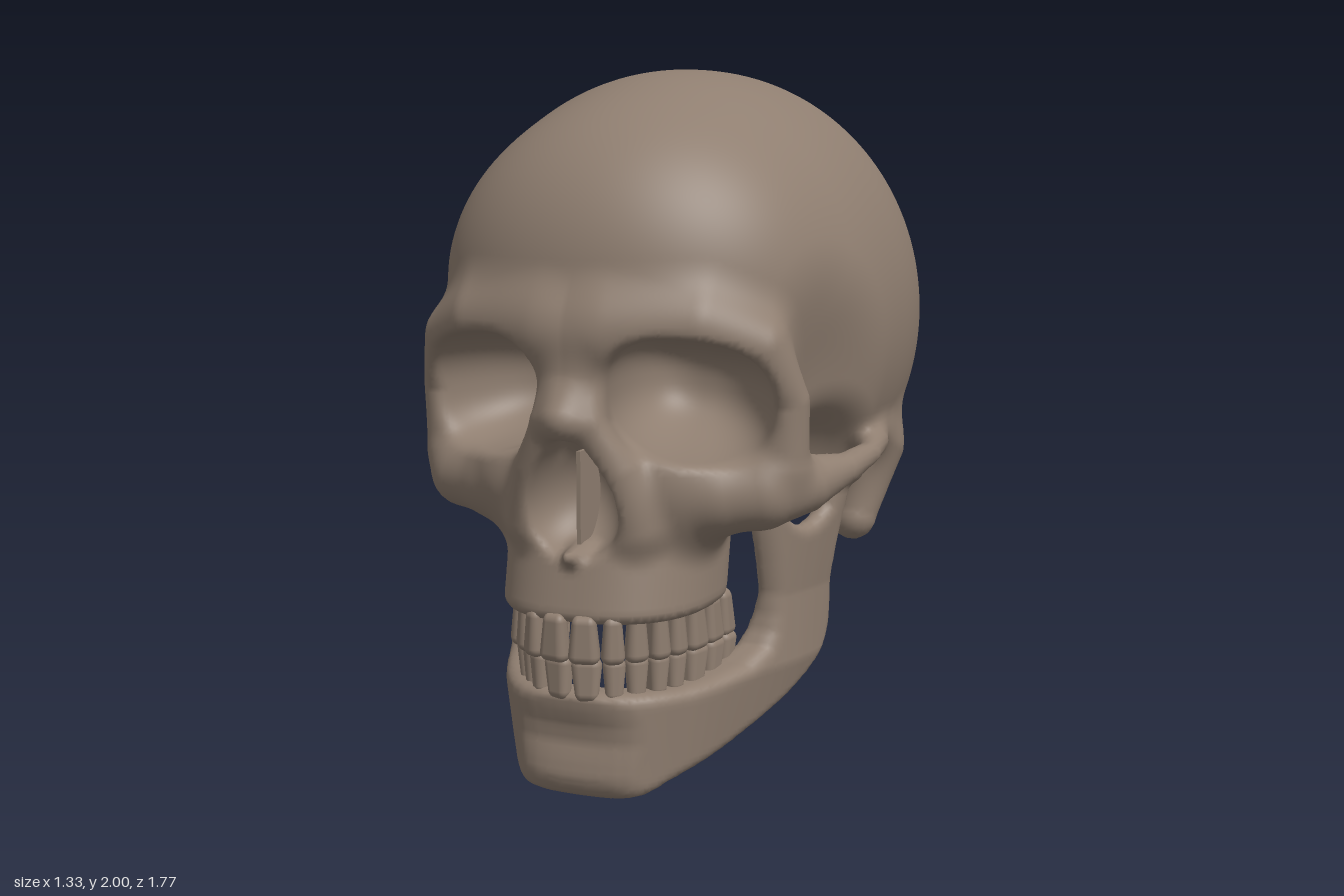
import * as THREE from 'three';
import { RoundedBoxGeometry } from 'three/addons/geometries/RoundedBoxGeometry.js';

const bone = new THREE.MeshStandardMaterial({ color: 0x8f7e70 });
bone.name = 'bone';

// ---- Sculpting forms: each returns a signed distance, negative inside ----
const clamp = (v) => Math.min(Math.max(v, 0), 1);
const join = (a, b, k) => {
  const h = Math.max(k - Math.abs(a - b), 0);
  return Math.min(a, b) - (h * h) / (4 * k);
};
const meet = (a, b, k) => -join(-a, -b, k);
const carve = (a, b, k) => meet(a, -b, k);

function ellipsoid(x, y, z, [cx, cy, cz], [rx, ry, rz]) {
  const a = (x - cx) / rx, b = (y - cy) / ry, c = (z - cz) / rz;
  return (Math.sqrt(a * a + b * b + c * c) - 1) * Math.min(rx, ry, rz);
}

// Chain of tapering limbs through [x, y, z, radius] points
function limb(x, y, z, points) {
  let best = Infinity;
  for (let i = 1; i < points.length; i++) {
    const [ax, ay, az, ar] = points[i - 1], [bx, by, bz, br] = points[i];
    const ex = bx - ax, ey = by - ay, ez = bz - az;
    const t = clamp(((x - ax) * ex + (y - ay) * ey + (z - az) * ez) / (ex * ex + ey * ey + ez * ez));
    const dx = x - ax - ex * t, dy = y - ay - ey * t, dz = z - az - ez * t;
    best = Math.min(best, Math.sqrt(dx * dx + dy * dy + dz * dz) - ar - (br - ar) * t);
  }
  return best;
}

// Signed distance to a closed 2D outline
function outline(u, v, pts) {
  let d = Infinity, sign = 1;
  for (let i = 0, j = pts.length - 1; i < pts.length; j = i++) {
    const [ax, ay] = pts[i], [bx, by] = pts[j];
    const ex = bx - ax, ey = by - ay, wx = u - ax, wy = v - ay;
    const t = clamp((wx * ex + wy * ey) / (ex * ex + ey * ey));
    d = Math.min(d, (wx - ex * t) ** 2 + (wy - ey * t) ** 2);
    if (ay > v !== by > v && u < ax + (ex * (v - ay)) / ey) sign = -sign;
  }
  return sign * Math.sqrt(d);
}

const spline = (pts, closed) =>
  new THREE.CatmullRomCurve3(pts.map(([u, v]) => new THREE.Vector3(u, 0, v)), closed);

// ---- Wraps a smooth quad skin around a sculpted form ----
function skin(field, min, max, step) {
  const n = min.map((m, i) => Math.ceil((max[i] - m) / step) + 1);
  const stride = [1, n[0], n[0] * n[1]];
  const value = new Float32Array(n[0] * n[1] * n[2]);
  const cell = new Int32Array(value.length).fill(-1);
  const at = (i, a) => min[a] + i * step;
  const each = (from, trim, fn) => {
    for (let k = from; k < n[2] - trim; k++)
      for (let j = from; j < n[1] - trim; j++)
        for (let i = from; i < n[0] - trim; i++) fn(i, j, k, i + j * stride[1] + k * stride[2]);
  };
  each(0, 0, (i, j, k, id) => { value[id] = field(at(i, 0), at(j, 1), at(k, 2)); });

  // One vertex per boundary cell, at the mean of its edge crossings
  const position = [], normal = [], index = [];
  each(0, 1, (i, j, k, id) => {
    const sum = [0, 0, 0];
    let count = 0;
    for (let a = 0; a < 3; a++) {
      const b = (a + 1) % 3, c = (a + 2) % 3;
      for (let q = 0; q < 4; q++) {
        const u = q & 1, w = q >> 1;
        const s = id + u * stride[b] + w * stride[c];
        const v0 = value[s], v1 = value[s + stride[a]];
        if (v0 < 0 === v1 < 0) continue;
        sum[a] += v0 / (v0 - v1);
        sum[b] += u;
        sum[c] += w;
        count++;
      }
    }
    if (!count) return;
    cell[id] = position.length / 3;
    const x = at(i + sum[0] / count, 0), y = at(j + sum[1] / count, 1), z = at(k + sum[2] / count, 2);
    const e = step * 0.6;
    const g = new THREE.Vector3(
      field(x + e, y, z) - field(x - e, y, z),
      field(x, y + e, z) - field(x, y - e, z),
      field(x, y, z + e) - field(x, y, z - e)).normalize();
    position.push(x, y, z);
    normal.push(g.x, g.y, g.z);
  });

  // One quad around every grid edge that passes through the surface
  each(1, 1, (i, j, k, id) => {
    for (let a = 0; a < 3; a++) {
      const inside = value[id] < 0;
      if (inside === value[id + stride[a]] < 0) continue;
      const b = stride[(a + 1) % 3], c = stride[(a + 2) % 3];
      const [p, q, r, s] = [cell[id - b - c], cell[id - c], cell[id], cell[id - b]];
      if (inside) index.push(p, q, r, p, r, s);
      else index.push(p, r, q, p, s, r);
    }
  });
  const geometry = new THREE.BufferGeometry();
  geometry.setAttribute('position', new THREE.Float32BufferAttribute(position, 3));
  geometry.setAttribute('normal', new THREE.Float32BufferAttribute(normal, 3));
  geometry.setIndex(index);
  return geometry;
}

// ---- Cranium and face ----
const ARCH = [[0.36, 0.84, 0.56, 0.1], [0.45, 0.85, 0.525, 0.105], [0.535, 0.862, 0.43, 0.082],
  [0.606, 0.885, 0.28, 0.046], [0.632, 0.907, 0.12, 0.033], [0.612, 0.925, 0, 0.04], [0.55, 0.935, -0.13, 0.06]];
const BROW = [[0.1, 1.3, 0.7, 0.075], [0.33, 1.305, 0.675, 0.065], [0.47, 1.25, 0.59, 0.06],
  [0.53, 1.1, 0.52, 0.052], [0.51, 0.93, 0.51, 0.07]];
const BRIDGE = [[0, 1.26, 0.725, 0.065], [0, 1.15, 0.765, 0.06], [0, 1.065, 0.832, 0.055]];
const NOSE_SIDE = [[0.045, 1.2, 0.715, 0.06], [0.06, 1.05, 0.785, 0.055], [0.12, 0.92, 0.75, 0.055], [0.155, 0.76, 0.7, 0.06]];
const MASTOID = [[0.49, 0.86, -0.25, 0.13], [0.495, 0.66, -0.165, 0.07]];
const SPINE = [[0, 0.675, 0.7, 0.04], [0, 0.685, 0.8, 0.018]];

function craniumField(sx, y, z) {
  const x = Math.abs(sx);
  // Braincase tapering slightly to the rear, forehead and flat base
  const rear = 1 - 0.2 * clamp((-0.4 - z) / 0.5) ** 1.5;
  const a = x / (0.665 * rear), b = (y - 1.27) / 0.73, c = Math.abs(z + 0.07) / 0.82;
  let d = (((a * a + b * b) ** 1.15 + c ** 2.3) ** (1 / 2.3) - 1) * 0.7;
  d = join(d, ellipsoid(x, y, z, [0, 1.45, 0.36], [0.5, 0.4, 0.39]), 0.1);
  d = meet(d, 0.635 + 0.25 * Math.max(z + 0.25, 0) - y, 0.06);
  d = carve(d, ellipsoid(x, y, z, [0, 0.6, -0.28], [0.13, 0.12, 0.16]), 0.04);
  // Hollows at the temples and behind the cheeks
  d = carve(d, ellipsoid(x, y, z, [0.76, 1.02, 0.4], [0.24, 0.36, 0.24]), 0.16);
  d = carve(d, ellipsoid(x, y, z, [0.62, 0.72, 0.27], [0.28, 0.34, 0.26]), 0.06);
  // Upper jaw column with palate
  const mz = z + 0.2 * (y - 0.52) - 0.46;
  const column = (((x / 0.3) ** 2.5 + Math.abs(mz / (mz > 0 ? 0.345 : 0.25)) ** 2.5) ** 0.4 - 1) * 0.25;
  let jaw = meet(column, Math.abs(y - 0.705) - 0.205, 0.04);
  jaw = carve(jaw, ellipsoid(x, y, z, [0, 0.49, 0.46], [0.17, 0.11, 0.24]), 0.04);
  d = join(d, jaw, 0.07);
  d = join(d, ellipsoid(x, y, z, [0, 0.83, 0.25], [0.24, 0.18, 0.3]), 0.06);
  // Cheeks, brows, nose bridge, arches and the bumps behind the ears
  d = join(d, ellipsoid(x, y, z, [0.22, 0.87, 0.52], [0.2, 0.19, 0.2]), 0.07);
  d = join(d, limb(x, y, z, NOSE_SIDE), 0.06);
  d = join(d, ellipsoid(x, y, z, [0, 1.29, 0.68], [0.17, 0.1, 0.135]), 0.1);
  d = join(d, limb(x, y, z, BROW), 0.12);
  d = join(d, limb(x, y, z, BRIDGE), 0.06);
  d = join(d, limb(x, y, z, ARCH), 0.05);
  d = join(d, limb(x, y, z, MASTOID), 0.1);
  d = carve(d, ellipsoid(x, y, z, [0.62, 0.85, -0.07], [0.1, 0.04, 0.035]), 0.03);
  // Eye sockets, narrowing inward and drooping outward
  const ex = Math.abs(x - 0.315 - 0.25 * (z - 0.7)) / 0.232;
  const ey = Math.abs(y - 1.107 + 0.12 * (x - 0.31)) / 0.17;
  const ez = Math.abs(z - 0.76) / 0.42;
  const socket = ((ex ** 2.5 + ey ** 2.5 + ez ** 2.5) ** 0.4 - 1) * 0.17;
  d = carve(d, socket, 0.025);
  // Pear-shaped nose opening and the little spine beneath it
  const nx = x / Math.max(1 - 1.5 * (y - 0.78), 0.4);
  d = carve(d, ellipsoid(nx, y, z, [0, 0.84, 0.79], [0.14, 0.168, 0.19]), 0.02);
  return join(d, limb(x, y, z, SPINE), 0.03);
}

// ---- Lower jaw: a side outline bent round a horseshoe plan ----
const JAW_SIDE = spline([[0.805, 0.3], [0.762, 0.18], [0.785, 0.06], [0.73, 0], [0.62, 0.025],
  [0.43, 0.068], [0.16, 0.185], [0.06, 0.265], [0, 0.37], [0, 0.6], [-0.012, 0.84], [0.03, 0.88],
  [0.07, 0.84], [0.08, 0.74], [0.165, 0.695], [0.24, 0.72], [0.3, 0.79], [0.345, 0.745], [0.335, 0.68],
  [0.29, 0.47], [0.33, 0.36], [0.6, 0.305], [0.78, 0.31]], true).getPoints(60).slice(1).map((p) => [p.x, p.z]);
const JAW_PLAN = spline([[-0.14, 0.7], [0, 0.735], [0.14, 0.7], [0.24, 0.57], [0.32, 0.4], [0.405, 0.18], [0.45, -0.08]])
  .getPoints(24).map((p) => [p.x, 0, p.z, 0]);
const CONDYLE = [[0.45, 0.84, 0.03, 0.032], [0.55, 0.84, 0.02, 0.036]];

function mandibleField(sx, y, z) {
  const x = Math.abs(sx);
  // Ramus leans outward going up, the lower border rises and tucks in sideways
  const low = clamp(1 - y / 0.3);
  const flare = 0.18 * (y - 0.4) * (1 - clamp(z / 0.6)) - 0.04 * low * clamp(x / 0.25);
  const thickness = 0.066 - 0.03 * clamp((y - 0.3) / 0.2);
  const wall = limb(x - flare, 0, z, JAW_PLAN) - thickness;
  const side = outline(z, y - 0.35 * x * x * low, JAW_SIDE);
  return join(meet(side, wall, 0.045), limb(x, y, z, CONDYLE), 0.04);
}

// ---- Teeth, eight per side, each tapering to its root ----
const WIDTHS = [0.086, 0.064, 0.066, 0.062, 0.062, 0.086, 0.086, 0.074];

function toothRow(name, plan, biteY, height, upper) {
  const row = new THREE.Group();
  row.name = name;
  const curve = spline(plan);
  const total = WIDTHS.reduce((s, w) => s + w, 0);
  const scale = curve.getLength() / total;
  let run = 0;
  WIDTHS.forEach((w, i) => {
    const u = (run + w / 2) / total;
    run += w;
    const depth = i < 3 ? 0.055 : i < 5 ? 0.075 : 0.09;
    const geometry = new RoundedBoxGeometry(w * scale * 0.98, height, depth, 3, 0.024);
    const p = geometry.attributes.position;
    for (let v = 0; v < p.count; v++) {
      const s = 1 - 0.35 * clamp(p.getY(v) / height + 0.3);
      p.setX(v, p.getX(v) * s);
      p.setZ(v, p.getZ(v) * s);
    }
    const at = curve.getPointAt(u), t = curve.getTangentAt(u);
    for (const side of [1, -1]) {
      const tooth = new THREE.Mesh(geometry, bone);
      tooth.name = 'tooth';
      tooth.position.set(side * at.x, biteY + (upper ? height / 2 : -height / 2), at.z);
      tooth.rotation.set(0, side * Math.atan2(-t.z, t.x), upper ? 0 : Math.PI);
      row.add(tooth);
    }
  });
  return row;
}

export function createModel() {
  const model = new THREE.Group();
  model.name = 'skull';
  const add = (name, geometry) => {
    const mesh = new THREE.Mesh(geometry, bone);
    mesh.name = name;
    model.add(mesh);
    return mesh;
  };
  add('cranium', skin(craniumField, [-0.731, 0.44, -0.94], [0.731, 2.05, 0.95], 0.017));
  add('mandible', skin(mandibleField, [-0.645, -0.04, -0.08], [0.645, 0.94, 0.86], 0.015));
  add('nasalSeptum', new THREE.BoxGeometry(0.012, 0.27, 0.16)).position.set(0, 0.83, 0.65);
  for (const side of [1, -1]) {
    const spike = add('styloidProcess', new THREE.ConeGeometry(0.025, 0.18, 8));
    spike.position.set(side * 0.42, 0.69, -0.08);
    spike.rotation.x = Math.PI + 0.25;
  }
  model.add(toothRow('upperTeeth', [[0, 0.803], [0.12, 0.765], [0.21, 0.65], [0.25, 0.5], [0.265, 0.32]], 0.395, 0.135, true));
  model.add(toothRow('lowerTeeth', [[0, 0.785], [0.11, 0.745], [0.195, 0.64], [0.245, 0.5], [0.27, 0.32]], 0.41, 0.125, false));
  return model;
}
